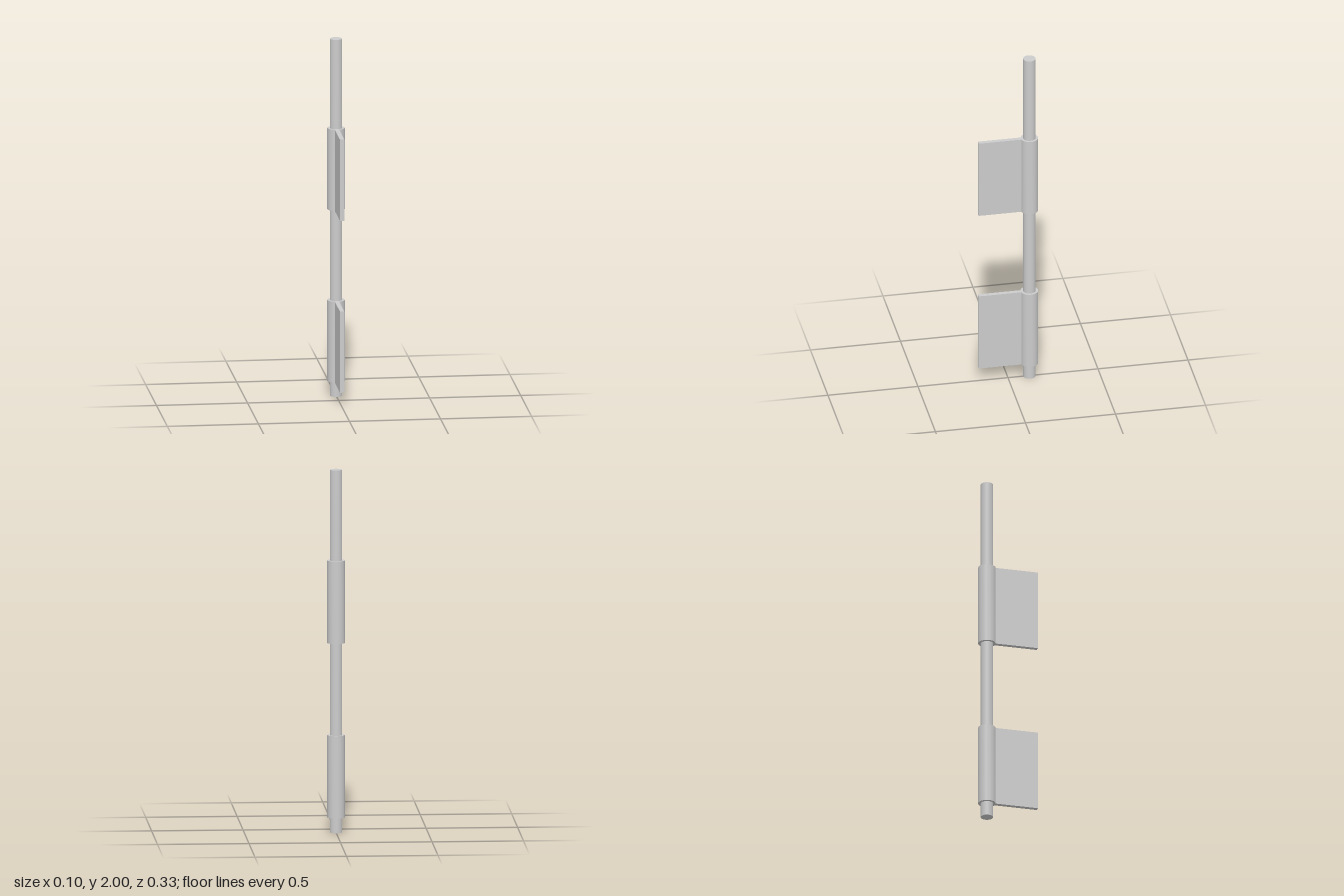
import * as THREE from 'three';
import { toCreasedNormals } from 'three/addons/utils/BufferGeometryUtils.js';

const ROD_R = 0.034, SLEEVE_R = 0.048, HALF_PLATE = 0.012;
const AXIS_Z = -0.119, PLATE_REACH = 0.284, LEAF_HEIGHT = 0.455;

// Keyhole outline: round sleeve with a flat plate running out of it, bored for the rod
function leafGeometry() {
  const a = Math.asin(HALF_PLATE / SLEEVE_R);
  const shape = new THREE.Shape();
  shape.moveTo(-HALF_PLATE, -PLATE_REACH);
  shape.lineTo(HALF_PLATE, -PLATE_REACH);
  shape.absarc(0, 0, SLEEVE_R, -Math.PI / 2 + a, Math.PI * 1.5 - a, false);
  shape.closePath();
  const bore = new THREE.Path();
  bore.absarc(0, 0, ROD_R, 0, Math.PI * 2, true);
  shape.holes.push(bore);
  const geometry = new THREE.ExtrudeGeometry(shape, {
    depth: LEAF_HEIGHT, bevelEnabled: false, curveSegments: 24,
  });
  geometry.rotateX(-Math.PI / 2); // extrude upward, plate toward the front
  return toCreasedNormals(geometry, 0.6);
}

export function createModel() {
  const model = new THREE.Group();
  model.name = 'hingePost';
  const material = new THREE.MeshStandardMaterial({ color: 0xcccccc });

  // Full-height pin
  const rod = new THREE.Mesh(new THREE.CylinderGeometry(ROD_R, ROD_R, 2, 48), material);
  rod.name = 'rod';
  rod.position.set(0, 1, AXIS_Z);
  model.add(rod);

  // Lower and upper hinge leaves
  const leaf = leafGeometry();
  for (const [name, y] of [['lowerHingeLeaf', 0.082], ['upperHingeLeaf', 1.045]]) {
    const mesh = new THREE.Mesh(leaf, material);
    mesh.name = name;
    mesh.position.set(0, y, AXIS_Z);
    model.add(mesh);
  }
  return model;
}
